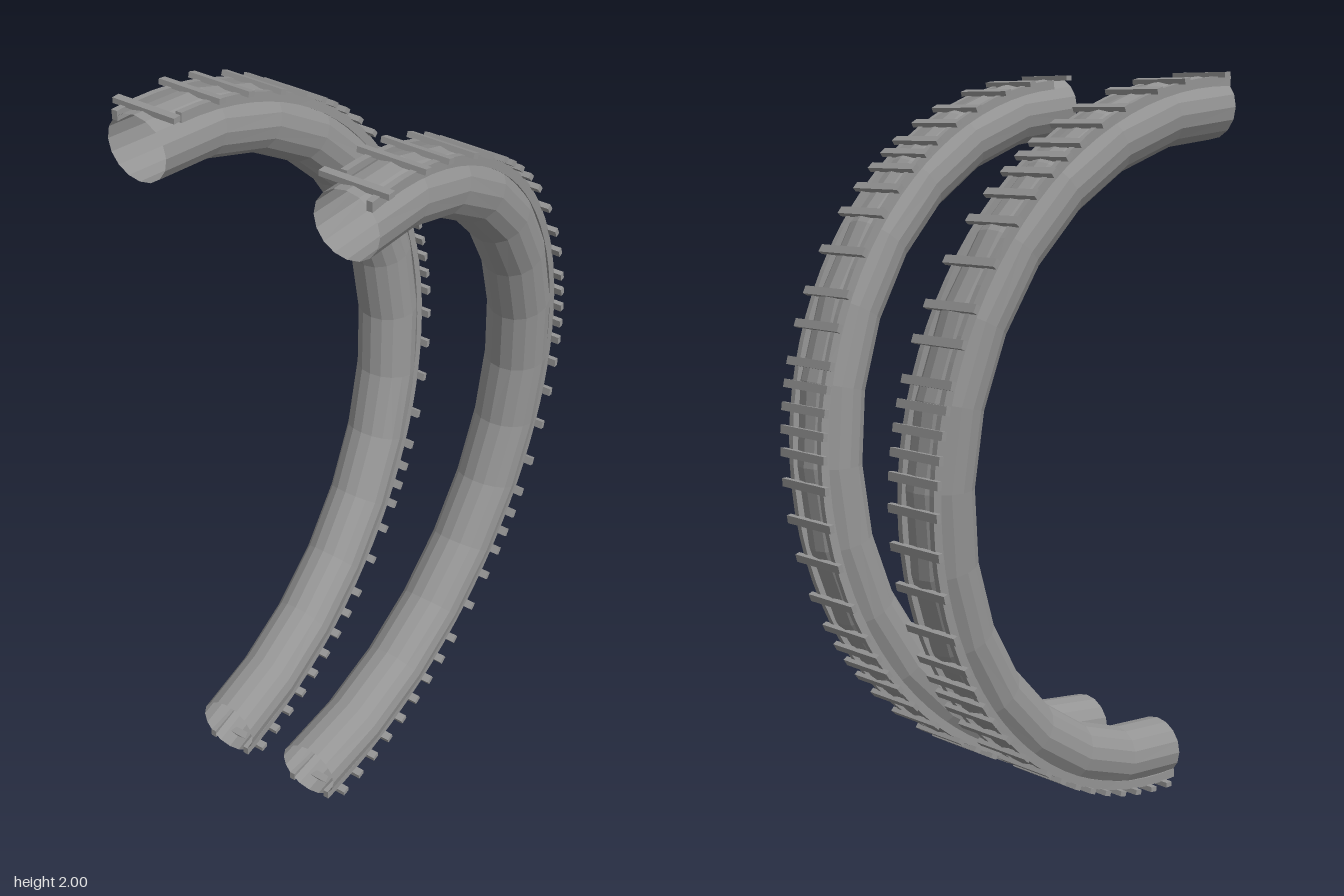
import * as THREE from 'three';

const R = 0.91, TUBE = 0.085; // arc radius and tube radius
const TIE_R = 0.993;          // radius at which the ties sit

// Sideways drift of the arc: t runs from 0 (top end) to PI (bottom end)
const drift = t => 0.286 - 0.146 * t / Math.PI;

// Sweeps a closed profile of [sideways, radius] points around the half circle
function sweep(profile, t0, t1, steps, side, capped) {
  const n = profile.length, pos = [], idx = [];
  const tri = (a, b, c) => (side > 0 ? idx.push(a, b, c) : idx.push(a, c, b));
  for (let i = 0; i <= steps; i++) {
    const t = t0 + (t1 - t0) * i / steps;
    for (const [u, r] of profile)
      pos.push(side * (drift(t) + u), 1 + r * Math.cos(t), 0.5 - r * Math.sin(t));
  }
  for (let i = 0; i < steps; i++)
    for (let j = 0; j < n; j++) {
      const a = i * n + j, b = i * n + (j + 1) % n;
      tri(a, a + n, b);
      tri(b, a + n, b + n);
    }
  if (capped)
    for (let j = 1; j < n - 1; j++) {
      const e = steps * n;
      tri(0, j, j + 1);
      tri(e, e + j + 1, e + j);
    }
  const g = new THREE.BufferGeometry();
  g.setAttribute('position', new THREE.Float32BufferAttribute(pos, 3));
  g.setIndex(idx);
  g.computeVertexNormals();
  return g;
}

// Unevenly spaced cross ties, as angles from the top end
const tieAngles = [
  0.04, 0.193, 0.297, 0.42, 0.508, 0.595, 0.65, 0.71, 0.785, 0.87, 0.99, 1.11,
  1.2, 1.3, 1.36, 1.42, 1.48, 1.54, 1.62, 1.72, 1.83, 1.95, 2.05, 2.12, 2.18,
  2.24, 2.32, 2.42, 2.53, 2.6, 2.67, 2.74, 2.81, 2.88, 2.95, 3.02, 3.09
];

export function createModel() {
  const model = new THREE.Group();
  model.name = 'curvedTracks';
  const tubeMaterial = new THREE.MeshStandardMaterial({
    color: 0x949494, flatShading: true, side: THREE.DoubleSide
  });
  const trackMaterial = new THREE.MeshStandardMaterial({ color: 0x949494, flatShading: true });
  const tieShape = new THREE.BoxGeometry(0.178, 0.014, 0.022);

  const circle = [];
  for (let j = 0; j < 16; j++) {
    const a = j / 16 * Math.PI * 2;
    circle.push([TUBE * Math.cos(a), R + TUBE * Math.sin(a)]);
  }
  const railProfile = u => [
    [u - 0.008, 0.964], [u + 0.008, 0.964], [u + 0.008, 0.989], [u - 0.008, 0.989]
  ];

  for (const side of [1, -1]) {
    const track = new THREE.Group();
    track.name = side > 0 ? 'leftTrack' : 'rightTrack';
    const add = (name, geometry, material) => {
      const mesh = new THREE.Mesh(geometry, material);
      mesh.name = name;
      track.add(mesh);
      return mesh;
    };

    // Open-ended supporting tube
    add('tube', sweep(circle, 0, Math.PI, 14, side, false), tubeMaterial);

    // Two rails along the outside; the inner one starts a little later
    add('innerRail', sweep(railProfile(-0.058), 0.08, Math.PI, 48, side, true), trackMaterial);
    add('outerRail', sweep(railProfile(0.058), 0, Math.PI, 48, side, true), trackMaterial);

    // Cross ties
    for (const t of tieAngles) {
      const tie = add('tie', tieShape, trackMaterial);
      tie.position.set(side * drift(t), 1 + TIE_R * Math.cos(t), 0.5 - TIE_R * Math.sin(t));
      tie.rotation.x = -t;
    }
    model.add(track);
  }
  return model;
}
